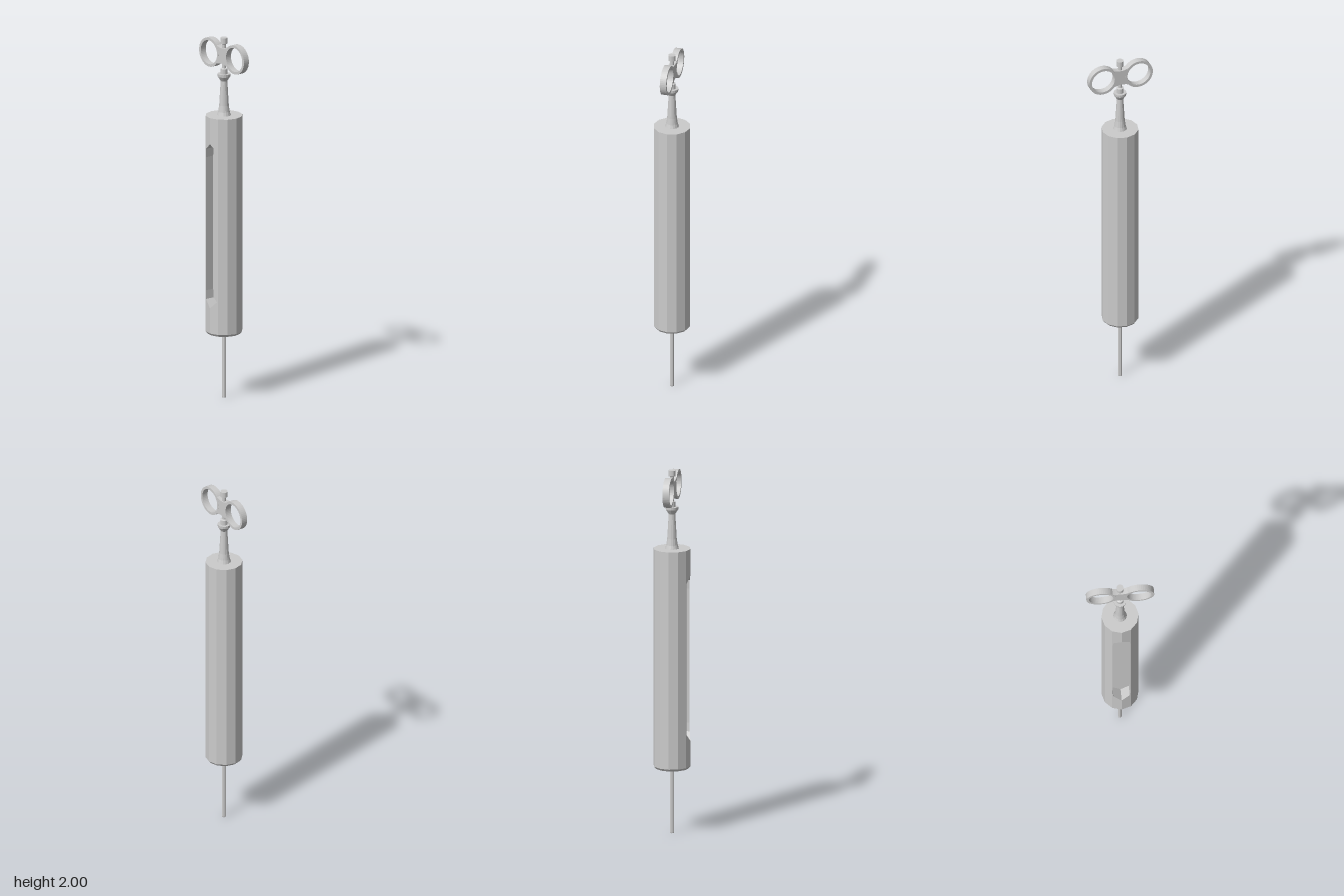
import * as THREE from 'three';

const material = new THREE.MeshStandardMaterial({ color: 0xcccccc, flatShading: true });
const thin = new THREE.MeshStandardMaterial({ color: 0xcccccc, flatShading: true, side: THREE.DoubleSide });

export function createModel() {
  const model = new THREE.Group();
  const add = (name, geometry, mat = material) => {
    const mesh = new THREE.Mesh(geometry, mat);
    mesh.name = name;
    model.add(mesh);
    return mesh;
  };
  const lathe = (points, sides, start = 0, length = Math.PI * 2) =>
    new THREE.LatheGeometry(points.map(([r, y]) => new THREE.Vector2(r, y)), sides, start, length);

  const R = 0.1, low = 0.372, high = 1.57;
  const edgeX = R / 2, edgeZ = R * Math.cos(Math.PI / 6);

  // Needle and chamfered foot of the barrel
  add('needle', lathe([[0, 0], [0.011, 0], [0.012, 0.005], [0.012, 0.37]], 8));
  add('barrelFoot', lathe([[0, 0.36], [0.091, 0.36], [R, low]], 12));

  // Ten plain facets of the barrel; the two front facets carry the window
  add('barrel', lathe([[R, low], [R, high], [0, high]], 10, Math.PI / 6, Math.PI * 5 / 3));

  // Front facets with half of the pointed window cut from each
  const half = [[0, high], [0, 1.425], [0.044, 1.388], [0.048, 1.34], [0.048, 0.6],
    [0.044, 0.553], [0, 0.513], [0, low], [edgeX, low], [edgeX, high]];
  for (const side of [1, -1]) {
    const shape = new THREE.Shape(half.map(([x, y]) => new THREE.Vector2(side * x, y)));
    const geometry = new THREE.ExtrudeGeometry(shape, { depth: 1, bevelEnabled: false });
    const p = geometry.attributes.position;
    for (let i = 0; i < p.count; i++) {
      if (p.getZ(i) > 0.5) p.setZ(i, R - Math.abs(p.getX(i)) * (R - edgeZ) / edgeX);
    }
    geometry.computeVertexNormals();
    add(side > 0 ? 'frontFacetLeft' : 'frontFacetRight', geometry);
  }
  const floor = add('windowFloor', new THREE.PlaneGeometry(0.099, 0.94), thin);
  floor.position.set(0, 0.97, 0.035);

  // Flared neck
  add('neck', lathe([[0.037, 1.57], [0.031, 1.59], [0.026, 1.625], [0.018, 1.76],
    [0.034, 1.785], [0.035, 1.8], [0, 1.8]], 16));

  // Plunger rod, slimmer where the handle grips it
  add('plungerRod', lathe([[0.02, 1.79], [0.02, 1.828], [0.011, 1.832], [0.011, 1.965],
    [0.02, 1.969], [0.02, 2], [0, 2]], 16));

  // Finger rings joined by a waisted plate
  const cx = 0.103, cy = 1.9, thickness = 0.035;
  const extrude = (shape, depth) => new THREE.ExtrudeGeometry(shape,
    { depth, bevelEnabled: false, curveSegments: 24 }).translate(0, 0, -depth / 2);
  for (const side of [1, -1]) {
    const ring = new THREE.Shape().absarc(side * cx, cy, 0.08, 0, Math.PI * 2, false);
    ring.holes.push(new THREE.Path().absarc(side * cx, cy, 0.066, 0, Math.PI * 2, true));
    add(side > 0 ? 'fingerRingLeft' : 'fingerRingRight', extrude(ring, thickness));
  }
  const a = 0.95, r = 0.073;
  const px = cx - r * Math.cos(a), py = r * Math.sin(a);
  const plate = new THREE.Shape();
  plate.moveTo(-px, cy + py);
  plate.absarc(-cx, cy, r, a, -a, true);
  plate.quadraticCurveTo(0, cy - 0.027, px, cy - py);
  plate.absarc(cx, cy, r, Math.PI + a, Math.PI - a, true);
  plate.quadraticCurveTo(0, cy + 0.027, -px, cy + py);
  add('handlePlate', extrude(plate, thickness - 0.001));

  return model;
}
